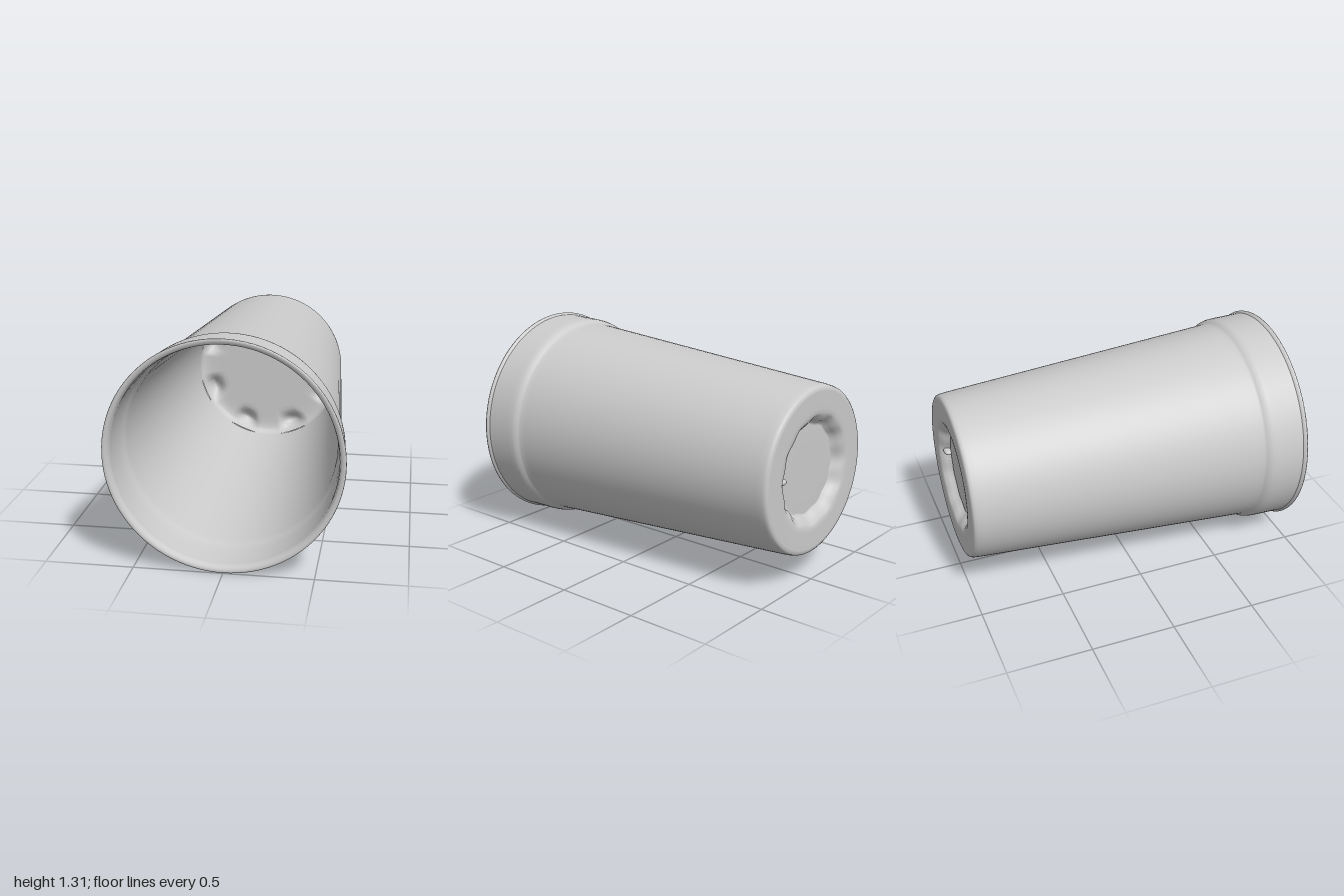
import * as THREE from 'three';
import { mergeVertices } from 'three/addons/utils/BufferGeometryUtils.js';

const SEGMENTS = 96;
const CENTRE_Y = 0.655;

export function createModel() {
  const cup = new THREE.Group();
  cup.name = 'cup';
  const material = new THREE.MeshStandardMaterial({ color: 0xcccccc });

  // Turn a [radius, z] profile about the z axis; rule(v, radius, angle) may reshape it
  function turned(name, profile, rule) {
    let geo = new THREE.LatheGeometry(profile.map(([r, z]) => new THREE.Vector2(r, z)), SEGMENTS);
    geo.rotateX(Math.PI / 2);
    geo.deleteAttribute('uv');
    geo.deleteAttribute('normal');
    const pos = geo.attributes.position;
    const v = new THREE.Vector3();
    if (rule) {
      for (let i = 0; i < pos.count; i++) {
        v.fromBufferAttribute(pos, i);
        rule(v, Math.hypot(v.x, v.y), Math.atan2(v.y, v.x));
        pos.setXYZ(i, v.x, v.y, v.z);
      }
    }
    geo = mergeVertices(geo, 1e-4);
    geo.computeVertexNormals();
    const mesh = new THREE.Mesh(geo, material);
    mesh.name = name;
    mesh.position.y = CENTRE_Y;
    cup.add(mesh);
    return mesh;
  }

  // Recessed underside with a gently scalloped step
  turned('base', [
    [0, -0.94], [0.15, -0.94], [0.255, -0.94], [0.27, -0.937], [0.285, -0.965],
    [0.315, -0.992], [0.335, -0.998], [0.36, -1], [0.46, -1],
  ], (v, r, a) => {
    if (r > 0.25 && r < 0.33) {
      const k = 1 + 0.02 * Math.cos(12 * a);
      v.x *= k;
      v.y *= k;
    }
  });

  // Tapered outer wall with a rounded bottom edge and a stepped collar
  turned('outerWall', [
    [0.46, -1], [0.474, -0.998], [0.484, -0.991], [0.489, -0.975], [0.493, -0.94],
    [0.552, -0.1], [0.608, 0.7], [0.612, 0.735], [0.619, 0.748], [0.631, 0.763],
    [0.636, 0.785], [0.638, 0.82], [0.641, 0.95], [0.643, 0.975],
  ]);

  // Flared lip around the mouth
  turned('lip', [
    [0.643, 0.975], [0.65, 0.983], [0.655, 0.992], [0.653, 0.999], [0.645, 1],
    [0.632, 0.998], [0.622, 0.988], [0.617, 0.965],
  ]);

  // Inner wall
  turned('innerWall', [
    [0.617, 0.965], [0.612, 0.8], [0.6, 0.745], [0.588, 0.7], [0.532, -0.1], [0.477, -0.84],
  ]);

  // Inner floor, dented by eight pits around its edge
  turned('innerFloor', [
    [0.477, -0.84], [0.472, -0.86], [0.46, -0.873], [0.445, -0.88], [0.425, -0.885],
    [0.405, -0.887], [0.38, -0.888], [0.355, -0.888], [0.33, -0.888], [0.3, -0.888],
    [0.15, -0.888], [0, -0.888],
  ], (v, r, a) => {
    const lobe = Math.max(0, Math.cos(8 * (a - Math.PI / 8)));
    v.z -= 0.06 * lobe * Math.exp(-(((r - 0.415) / 0.045) ** 2));
  });

  // Small moulding nub on the edge of the underside recess
  const nub = new THREE.Mesh(new THREE.SphereGeometry(1, 16, 10), material);
  nub.name = 'mouldingNub';
  nub.scale.set(0.04, 0.018, 0.025);
  nub.position.set(0.275, CENTRE_Y, -0.955);
  cup.add(nub);

  return cup;
}
